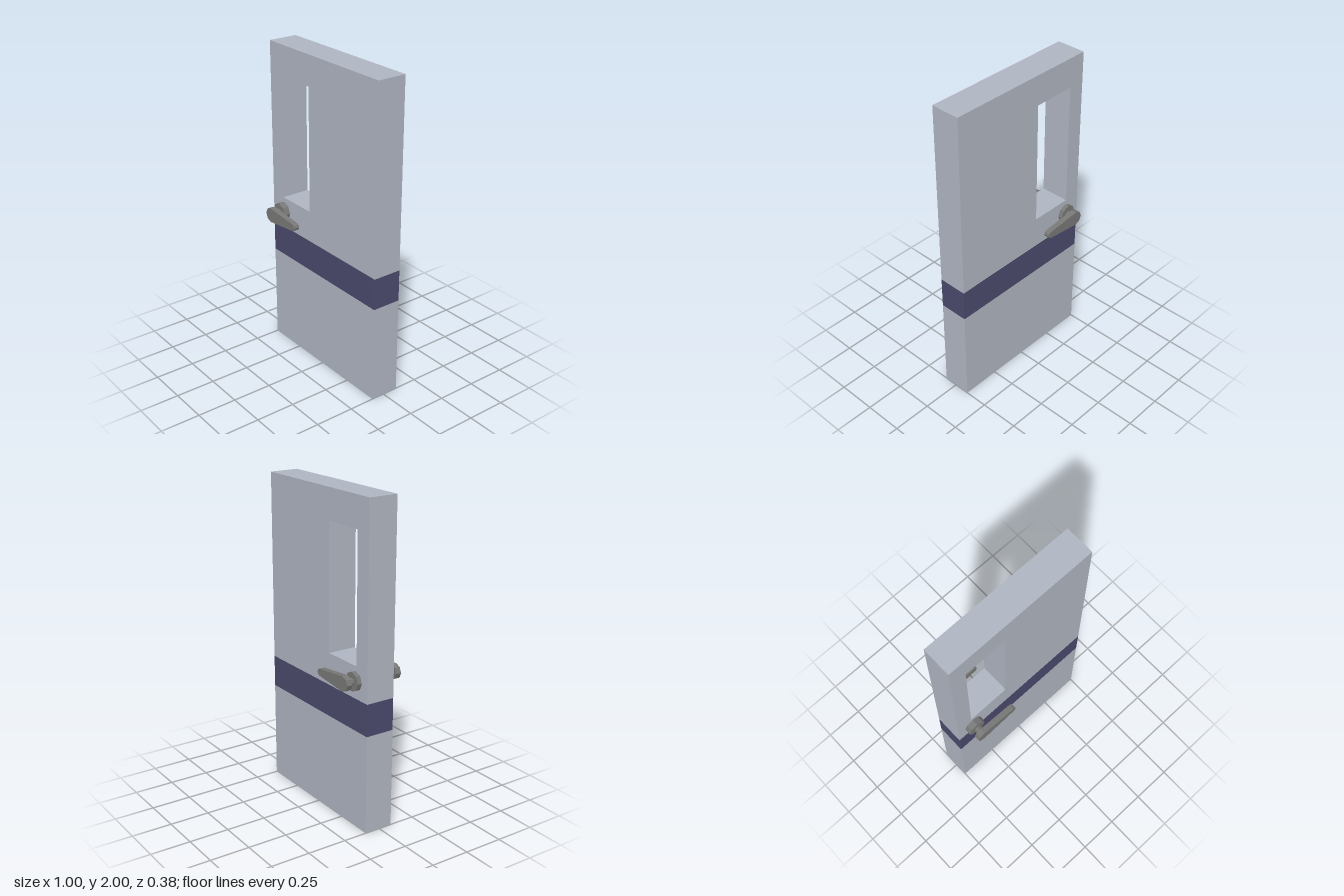
import * as THREE from 'three';

const material = (name, color) => {
  const m = new THREE.MeshStandardMaterial({ color });
  m.name = name;
  return m;
};

const BACK = -0.1, FRONT = 0.086, DEPTH = FRONT - BACK;
const PIVOT_X = -0.387, PIVOT_Y = 0.93;

// Points on an arc, for the faceted lever ends
const arc = (cx, r, from, steps) => Array.from({ length: steps + 1 }, (_, i) => {
  const a = from + (i / steps) * Math.PI;
  return new THREE.Vector2(cx + r * Math.cos(a), r * Math.sin(a));
});

export function createModel() {
  const group = new THREE.Group();
  const panelGray = material('panelGray', 0xafb5c1);
  const bandNavy = material('bandNavy', 0x4a4a6d);
  const handleGray = material('handleGray', 0x787877);

  const add = (parent, name, geometry, mat, x, y, z) => {
    const mesh = new THREE.Mesh(geometry, mat);
    mesh.name = name;
    mesh.position.set(x, y, z);
    parent.add(mesh);
    return mesh;
  };

  // Door slab: lower panel and flush kick band
  const midZ = (FRONT + BACK) / 2;
  add(group, 'lowerPanel', new THREE.BoxGeometry(1, 0.62, DEPTH), panelGray, 0, 0.31, midZ);
  add(group, 'colourBand', new THREE.BoxGeometry(1, 0.2, DEPTH), bandNavy, 0, 0.72, midZ);

  // Upper panel with the window opening
  const rect = (Type, x0, y0, x1, y1) => new Type([
    [x0, y0], [x1, y0], [x1, y1], [x0, y1],
  ].map(([x, y]) => new THREE.Vector2(x, y)));
  const upper = rect(THREE.Shape, -0.5, 0.82, 0.5, 2);
  upper.holes.push(rect(THREE.Path, -0.395, 1.02, -0.12, 1.81));
  add(group, 'upperPanel',
    new THREE.ExtrudeGeometry(upper, { depth: DEPTH, bevelEnabled: false }), panelGray, 0, 0, BACK);

  // Octagonal discs facing along z
  const disc = (r, depth) => new THREE.CylinderGeometry(r, r, depth, 8).toNonIndexed().rotateX(Math.PI / 2);
  const flat = (g) => { g.computeVertexNormals(); return g; };

  // Tapered lever outline, with its pivot at the origin
  const leverShape = new THREE.Shape([
    ...arc(0, 0.047, Math.PI / 2, 4),
    ...arc(0.231, 0.022, -Math.PI / 2, 4),
  ]);
  const leverGeometry = new THREE.ExtrudeGeometry(leverShape, { depth: 0.036, bevelEnabled: false });
  leverGeometry.translate(0, 0, -0.018);
  const roseGeometry = flat(disc(0.06, 0.046));
  const neckGeometry = flat(disc(0.024, 0.04));

  // A handle on each face of the door
  for (const [name, side] of [['frontHandle', 1], ['backHandle', -1]]) {
    const handle = new THREE.Group();
    handle.name = name;
    handle.position.set(PIVOT_X, PIVOT_Y, 0);
    add(handle, 'rose', roseGeometry, handleGray, 0, 0, side * 0.104);
    add(handle, 'neck', neckGeometry, handleGray, 0, 0, side * 0.14);
    add(handle, 'lever', leverGeometry, handleGray, 0, 0, side * 0.174);
    group.add(handle);
  }
  return group;
}
